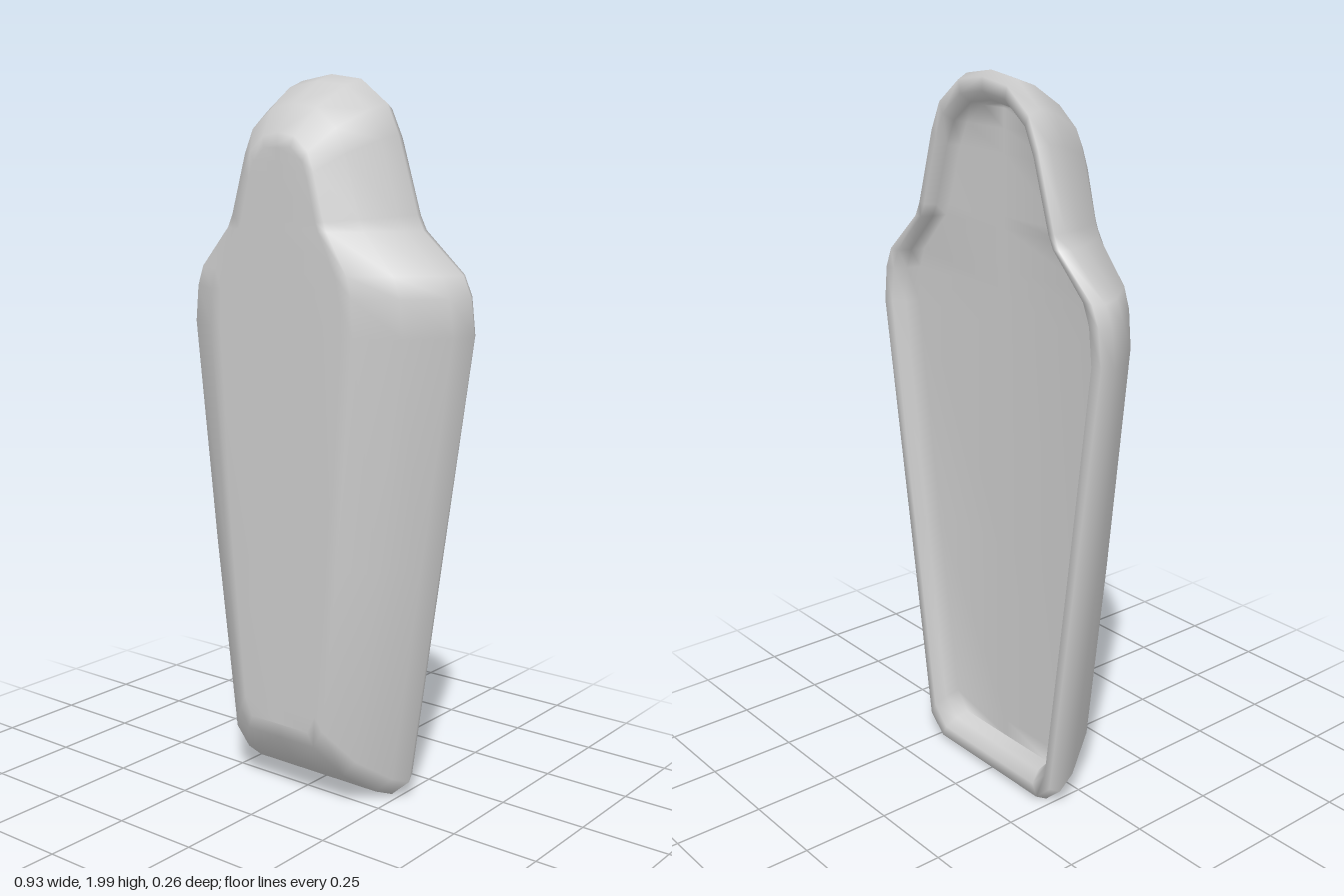
import * as THREE from 'three';

// Right half of the outline, from the crown down to the foot
const HALF = [
  [0, 2], [0.1, 1.985], [0.185, 1.92], [0.222, 1.84], [0.285, 1.635], [0.305, 1.595],
  [0.43, 1.485], [0.455, 1.43], [0.467, 1.33], [0.374, 0.7], [0.283, 0.06], [0.225, 0.008], [0, 0.008],
];
const M = HALF.length - 1;
const LOOP = [...HALF, ...HALF.slice(1, M).reverse().map(([x, y]) => [-x, y])];
const N = LOOP.length;

// Rings from the front plateau, round the rim, to the shallow back panel:
// [width scale, inset at the crown, inset at the foot, z]
const RINGS = [
  [0.44, 0.185, 0.225, 0.128],
  [0.52, 0.155, 0.185, 0.123],
  [0.76, 0.08, 0.095, 0.06],
  [0.945, 0.02, 0.025, -0.04],
  [1, 0, 0, -0.1],
  [0.965, 0.015, 0.015, -0.13],
  [0.89, 0.05, 0.05, -0.13],
  [0.84, 0.075, 0.075, -0.1],
  [0.82, 0.085, 0.085, -0.06],
];

function ringPoint([x, y], [scale, top, foot, z]) {
  let v = y;
  if (y > 1.6) v = 1.6 + (y - 1.6) * (1 - top / 0.4);
  else if (y < 0.3) v = y + foot;
  return [x * scale, v, z];
}

function shellGeometry() {
  const positions = [];
  const index = [];
  const quad = (a, b, c, d) => index.push(a, b, c, a, c, d);
  for (const ring of RINGS) for (const p of LOOP) positions.push(...ringPoint(p, ring));

  // Walls between neighbouring rings
  for (let k = 0; k < RINGS.length - 1; k++) {
    for (let i = 0; i < N; i++) {
      const j = (i + 1) % N;
      quad(k * N + i, k * N + j, (k + 1) * N + j, (k + 1) * N + i);
    }
  }

  // Front plateau and back panel, each filled across a centre line
  function cap(k, front) {
    const start = k * N;
    const centre = [];
    for (let i = 0; i <= M; i++) {
      if (i === 0 || i === M) { centre.push(start + i); continue; }
      const [, y, z] = ringPoint(LOOP[i], RINGS[k]);
      centre.push(positions.length / 3);
      positions.push(0, y, z);
    }
    const face = (a, b, c, d) => (front ? quad(a, b, c, d) : quad(d, c, b, a));
    for (let i = 0; i < M; i++) {
      const left = start + ((N - i) % N);
      const leftNext = start + N - i - 1;
      face(centre[i], centre[i + 1], start + i + 1, start + i);
      face(left, leftNext, centre[i + 1], centre[i]);
    }
  }
  cap(0, true);
  cap(RINGS.length - 1, false);

  const geometry = new THREE.BufferGeometry();
  geometry.setAttribute('position', new THREE.Float32BufferAttribute(positions, 3));
  geometry.setIndex(index);
  geometry.computeVertexNormals();
  return geometry;
}

export function createModel() {
  const group = new THREE.Group();
  group.name = 'coffinLid';
  const shell = new THREE.Mesh(shellGeometry(), new THREE.MeshStandardMaterial({ color: 0xcccccc }));
  shell.name = 'lidShell';
  group.add(shell);
  return group;
}
